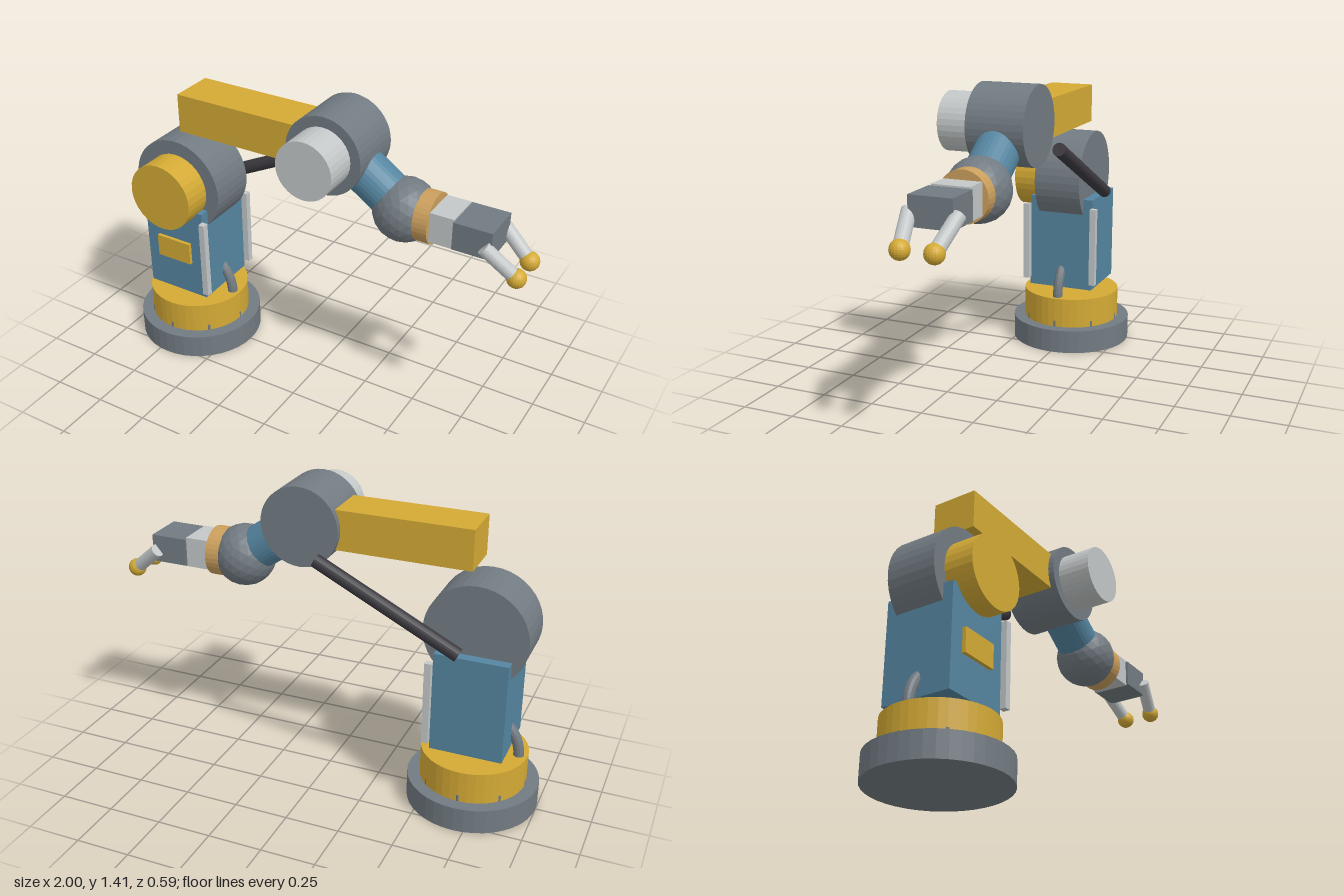
import * as THREE from 'three';

const paint = (name, color) => {
  const m = new THREE.MeshStandardMaterial({ color, flatShading: true });
  m.name = name;
  return m;
};

export function createModel() {
  const yellow = paint('yellow', 0xd4aa35);
  const grey = paint('steel grey', 0x727b82);
  const blue = paint('blue', 0x5585a0);
  const light = paint('light grey', 0xc3c7c7);
  const black = paint('black', 0x3c3a40);
  const tan = paint('tan', 0xcb9f5d);

  const robot = new THREE.Group();
  robot.name = 'robotArm';
  const V = (x, y, z) => new THREE.Vector3(x, y, z);

  const add = (name, geo, mat, x = 0, y = 0, z = 0) => {
    const mesh = new THREE.Mesh(geo, mat);
    mesh.name = name;
    mesh.position.set(x, y, z);
    robot.add(mesh);
    return mesh;
  };
  // Box given by its lower and upper corners
  const box = (name, mat, a, b) =>
    add(name, new THREE.BoxGeometry(b[0] - a[0], b[1] - a[1], b[2] - a[2]), mat,
      (a[0] + b[0]) / 2, (a[1] + b[1]) / 2, (a[2] + b[2]) / 2);
  // Cylinder running between two points
  const rod = (name, mat, r, a, b, sides = 32) => {
    const dir = b.clone().sub(a);
    const mid = a.clone().add(b).multiplyScalar(0.5);
    const mesh = add(name, new THREE.CylinderGeometry(r, r, dir.length(), sides), mat, mid.x, mid.y, mid.z);
    mesh.quaternion.setFromUnitVectors(V(0, 1, 0), dir.normalize());
    return mesh;
  };

  const cx = -0.703;

  // Base, turntable and its ring of bolts
  rod('base', grey, 0.297, V(cx, 0, 0), V(cx, 0.115, 0), 40);
  rod('turntable', yellow, 0.24, V(cx, 0.115, 0), V(cx, 0.262, 0), 40);
  for (let i = 0; i < 8; i++) {
    const a = (i * Math.PI) / 4;
    const x = cx + 0.232 * Math.cos(a), z = 0.232 * Math.sin(a);
    rod('baseBolt', grey, 0.01, V(x, 0.1, z), V(x, 0.145, z), 8);
  }

  // Column with front plate, corner strips and a cable loop through it
  box('column', blue, [-0.866, 0.303, -0.163], [-0.54, 0.766, 0.163]);
  box('frontPlate', yellow, [-0.797, 0.478, 0.16], [-0.613, 0.588, 0.18]);
  for (const s of [-1, 1])
    add('cornerStrip', new THREE.BoxGeometry(0.03, 0.387, 0.03), light, -0.525, 0.533, s * 0.175);
  add('cableLoop', new THREE.TorusGeometry(0.2, 0.024, 12, 32, Math.PI), grey, cx, 0.262, 0);

  // Shoulder joint and motor
  rod('shoulder', grey, 0.23, V(cx, 0.852, -0.116), V(cx, 0.852, 0.116), 40);
  rod('shoulderMotor', yellow, 0.163, V(cx, 0.852, 0.11), V(cx, 0.852, 0.25));

  // Upper arm, elbow joint and motor
  box('upperArm', yellow, [-0.672, 1.138, -0.105], [0.05, 1.318, 0.105]);
  rod('elbow', grey, 0.18, V(0.09, 1.227, -0.134), V(0.09, 1.227, 0.134), 40);
  rod('elbowMotor', light, 0.133, V(0.09, 1.227, 0.13), V(0.09, 1.227, 0.29));

  // Push rod along the back
  rod('pushRod', black, 0.031, V(-0.655, 0.793, -0.187), V(-0.01, 1.113, -0.187), 20);

  // Forearm and ball wrist
  rod('forearm', blue, 0.1, V(0.13, 1.2, 0), V(0.415, 1.005, 0));
  add('wristBall', new THREE.IcosahedronGeometry(0.142, 3), grey, 0.417, 1.005, 0);
  rod('wristRing', tan, 0.113, V(0.497, 1.005, 0), V(0.567, 1.005, 0));

  // Hand
  box('handMount', light, [0.56, 0.936, -0.086], [0.676, 1.075, 0.086]);
  box('palm', grey, [0.676, 0.941, -0.096], [0.848, 1.068, 0.096]);
  for (const s of [-1, 1]) {
    const tip = V(0.957, 0.882, s * 0.073);
    rod('finger', light, 0.031, V(0.818, 1.0, s * 0.106), tip, 20);
    add('fingertip', new THREE.SphereGeometry(0.042, 20, 14), yellow, tip.x, tip.y, tip.z);
  }

  return robot;
}
